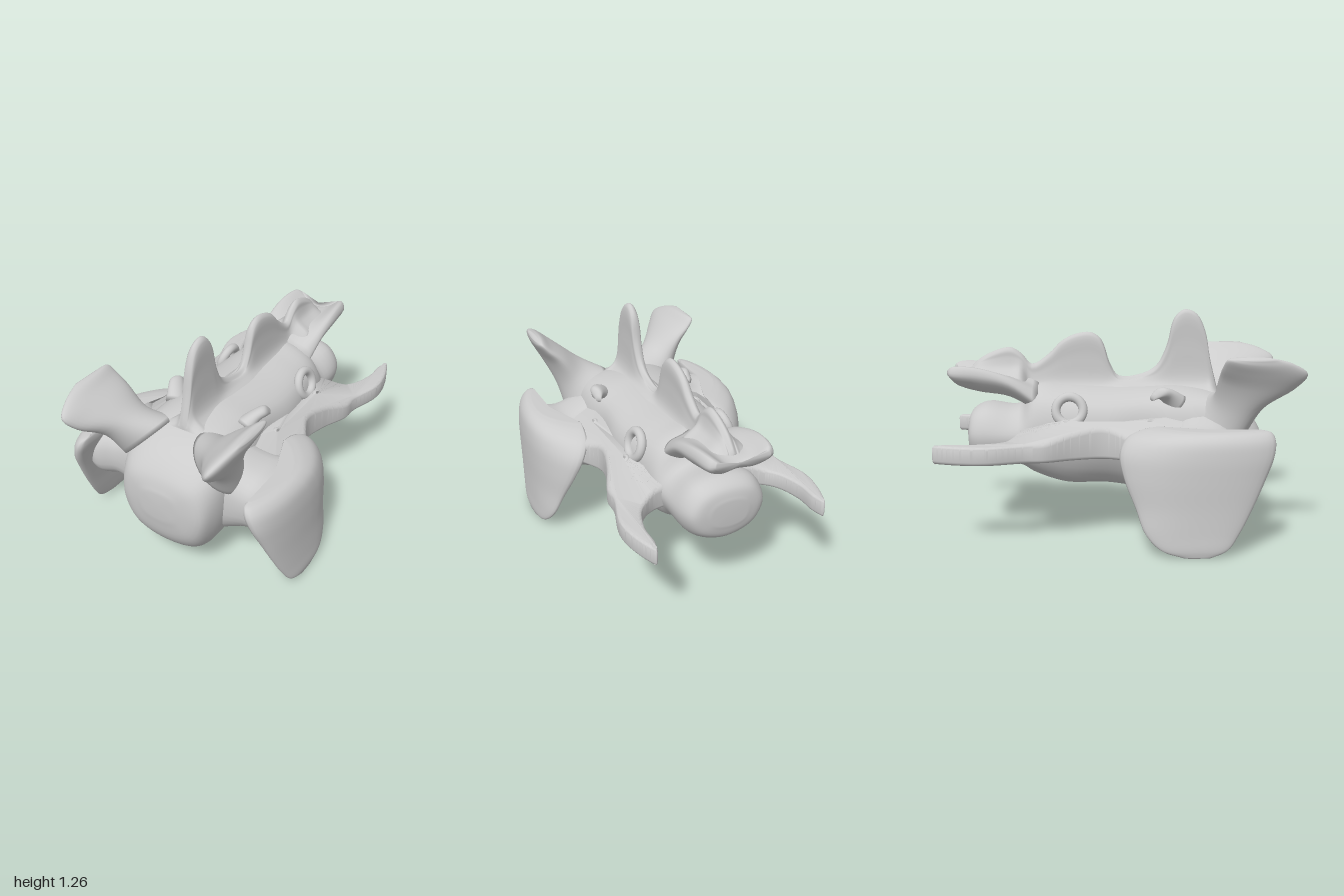
import * as THREE from 'three';
import { toCreasedNormals } from 'three/addons/utils/BufferGeometryUtils.js';

const V = (x, y, z) => new THREE.Vector3(x, y, z);
const clamp01 = (t) => THREE.MathUtils.clamp(t, 0, 1);
const material = new THREE.MeshStandardMaterial({ color: 0xcccccc });

// Oval cross-section around c, spanned by half-axes a and b
function oval(c, a, b, power = 1, n = 32) {
  const soft = (t) => Math.sign(t) * Math.abs(t) ** power;
  return Array.from({ length: n }, (_, i) => {
    const t = (i / n) * Math.PI * 2;
    return V(...c).addScaledVector(V(...a), soft(Math.cos(t))).addScaledVector(V(...b), soft(Math.sin(t)));
  });
}

// Symmetric cross-section at depth z from half an outline [x, y], bottom to top
function outline(z, half, sweep = 0, n = 48) {
  const left = half.slice(1, -1).reverse().map(([x, y]) => [-x, y]);
  const pts = [...half, ...left].map(([x, y]) => V(x, y, z - sweep * x * x));
  const curve = new THREE.CatmullRomCurve3(pts, true);
  return Array.from({ length: n }, (_, i) => curve.getPoint(i / n));
}

// Smooth closed skin over a row of cross-sections
function loft(rings, per = 5) {
  const n = rings[0].length, rows = (rings.length - 1) * per + 1;
  const curves = rings[0].map((_, j) => new THREE.CatmullRomCurve3(rings.map((r) => r[j])));
  const pos = [], idx = [];
  for (let i = 0; i < rows; i++) {
    for (const c of curves) pos.push(...c.getPoint(i / (rows - 1)).toArray());
  }
  for (let i = 0; i < rows - 1; i++) {
    for (let j = 0; j < n; j++) {
      const a = i * n + j, b = i * n + ((j + 1) % n);
      idx.push(a, b, a + n, b, b + n, a + n);
    }
  }
  [0, rows - 1].forEach((row, end) => {
    const ring = rings[end ? rings.length - 1 : 0], hub = pos.length / 3;
    const mid = ring.reduce((s, p) => s.add(p), V(0, 0, 0)).divideScalar(n);
    pos.push(mid.x, mid.y, mid.z);
    for (let j = 0; j < n; j++) {
      const a = row * n + j, b = row * n + ((j + 1) % n);
      idx.push(...(end ? [a, b, hub] : [b, a, hub]));
    }
  });
  // Turn the faces outward when the enclosed volume is negative
  const at = (k) => V(pos[k * 3], pos[k * 3 + 1], pos[k * 3 + 2]);
  let volume = 0;
  for (let k = 0; k < idx.length; k += 3) volume += at(idx[k]).dot(at(idx[k + 1]).cross(at(idx[k + 2])));
  if (volume < 0) idx.reverse();
  const geo = new THREE.BufferGeometry();
  geo.setAttribute('position', new THREE.Float32BufferAttribute(pos, 3));
  geo.setIndex(idx);
  geo.computeVertexNormals();
  return geo;
}

function mirrored(geo) {
  const m = geo.clone().scale(-1, 1, 1);
  const idx = m.index ? Array.from(m.index.array) : Array.from({ length: m.attributes.position.count }, (_, i) => i);
  m.setIndex(idx.reverse());
  return m;
}

// Fused vertebral bodies with their roof
function bodyGeometry() {
  // z, bottom y, lower corner, side, upper corner, top y
  const rows = [
    [0.825, 0.36, 0.08, 0.38, 0.1, 0.44, 0.08, 0.5, 0.52],
    [0.79, 0.21, 0.18, 0.26, 0.25, 0.42, 0.2, 0.58, 0.62],
    [0.7, 0.11, 0.19, 0.16, 0.29, 0.4, 0.26, 0.65, 0.72],
    [0.56, 0.09, 0.19, 0.14, 0.31, 0.42, 0.27, 0.73, 0.79],
    [0.35, 0.15, 0.19, 0.21, 0.32, 0.5, 0.27, 0.75, 0.83],
    [0.16, 0.22, 0.19, 0.27, 0.29, 0.54, 0.25, 0.75, 0.83],
    [-0.07, 0.26, 0.19, 0.31, 0.31, 0.56, 0.26, 0.74, 0.83],
    [-0.3, 0.26, 0.19, 0.32, 0.29, 0.57, 0.24, 0.75, 0.84],
    [-0.48, 0.32, 0.2, 0.38, 0.27, 0.58, 0.2, 0.76, 0.84],
    [-0.57, 0.37, 0.19, 0.42, 0.25, 0.56, 0.16, 0.68, 0.72],
    [-0.76, 0.36, 0.18, 0.42, 0.24, 0.56, 0.17, 0.69, 0.73],
    [-0.84, 0.4, 0.15, 0.45, 0.2, 0.56, 0.14, 0.66, 0.69],
    [-0.865, 0.48, 0.08, 0.5, 0.1, 0.56, 0.08, 0.6, 0.62],
  ];
  return loft(rows.map(([z, y0, ax, ay, bx, by, cx, cy, y1]) =>
    outline(z, [[0, y0], [ax, ay], [bx, by], [cx, cy], [0, y1]])));
}

// Midline crest rising into three spines
function crestGeometry() {
  const heights = [
    [0.57, 0.82], [0.53, 0.98], [0.5, 1.14], [0.45, 1.235], [0.38, 1.26], [0.32, 1.21], [0.28, 1.06],
    [0.22, 0.94], [0.13, 0.89], [0, 0.88], [-0.05, 0.95], [-0.1, 1.09], [-0.16, 1.13], [-0.25, 1.12],
    [-0.33, 1.08], [-0.4, 1.01], [-0.5, 0.95], [-0.56, 1.01], [-0.62, 1.045], [-0.7, 1.03], [-0.8, 0.98], [-0.87, 0.91],
  ];
  return loft(heights.map(([z, h]) => {
    const base = z < -0.5 ? 0.83 : 0.74, foot = Math.min(base + 0.1, h - 0.03);
    return outline(z, [[0, base], [0.13, base + 0.03], [0.05, foot], [0.028, (foot + h) / 2], [0.022, h - 0.02], [0, h]]);
  }), 4);
}

// Rear roof plate ending in a pair of joint lips
function rearRoofGeometry() {
  return loft([
    outline(-0.46, [[0, 0.68], [0.13, 0.69], [0.19, 0.74], [0.16, 0.8], [0.08, 0.83], [0, 0.86]]),
    outline(-0.62, [[0, 0.78], [0.13, 0.78], [0.2, 0.85], [0.18, 0.89], [0.08, 0.89], [0, 0.92]]),
    outline(-0.8, [[0, 0.81], [0.12, 0.81], [0.2, 0.89], [0.18, 0.945], [0.08, 0.9], [0, 0.91]]),
    outline(-0.9, [[0, 0.84], [0.1, 0.84], [0.18, 0.9], [0.16, 0.95], [0.08, 0.9], [0, 0.89]], 1.3),
    outline(-0.92, [[0, 0.86], [0.08, 0.86], [0.15, 0.91], [0.14, 0.935], [0.07, 0.895], [0, 0.88]], 2),
  ]);
}

// Side shelf with two openings, drawn out into a rear horn
function shelfGeometry() {
  const edge = [
    [0.58, 0.22], [0.45, 0.02], [0.4, -0.1], [0.43, -0.25], [0.49, -0.4], [0.5, -0.52], [0.55, -0.7],
    [0.54, -0.85], [0.485, -1], [0.455, -0.93], [0.45, -0.8], [0.4, -0.66], [0.3, -0.58], [0.15, -0.56],
  ].map((p) => new THREE.Vector2(...p));
  const shape = new THREE.Shape().moveTo(0.15, 0.5).lineTo(0.5, 0.5).splineThru(edge);
  for (const z of [0.16, -0.3]) {
    shape.holes.push(new THREE.Path().absellipse(0.345, z, 0.026, 0.036, 0, Math.PI * 2, true));
  }
  const geo = new THREE.ExtrudeGeometry(shape, {
    depth: 0.06, bevelThickness: 0.02, bevelSize: 0.02, bevelOffset: -0.02, bevelSegments: 4, curveSegments: 60,
  });
  geo.rotateX(Math.PI / 2).translate(0, 0.55, 0);
  // Raise the upper face toward the body
  const p = geo.attributes.position;
  for (let i = 0; i < p.count; i++) {
    const lift = clamp01((0.5 - p.getX(i)) / 0.2) * clamp01((p.getZ(i) + 0.62) / 0.25);
    if (p.getY(i) > 0.52) p.setY(i, p.getY(i) + 0.13 * lift);
  }
  return toCreasedNormals(geo, 0.9);
}

// Broad hanging side blade, curved inward at its front and back edges
function bladeGeometry() {
  const rows = [
    [0.003, 0.678, 0.32, 0.46, 0.008], [0.04, 0.67, 0.2, 0.55, 0.022], [0.12, 0.66, 0.12, 0.61, 0.028],
    [0.25, 0.648, 0.07, 0.68, 0.035], [0.4, 0.632, 0.01, 0.75, 0.05], [0.52, 0.612, -0.01, 0.8, 0.065],
    [0.6, 0.59, 0.03, 0.81, 0.07], [0.64, 0.575, 0.12, 0.79, 0.05], [0.653, 0.565, 0.2, 0.74, 0.02],
  ];
  return loft(rows.map(([y, x, z0, z1, t]) => {
    const mid = (z0 + z1) / 2, half = (z1 - z0) / 2;
    const ring = oval([x, y, mid], [0, 0, half], [t, 0, 0], 0.8);
    for (const p of ring) {
      const k = (mid - p.z) / half;
      p.x -= (k > 0 ? 0.24 : 0.07) * y * k * k;
    }
    return ring;
  }));
}

// Root joining the blade to the body
const bladeRootGeometry = () => loft([
  oval([0.2, 0.45, 0.46], [0, 0, 0.2], [0, 0.28, 0], 0.8),
  oval([0.32, 0.46, 0.45], [0, 0, 0.2], [0, 0.22, 0], 0.8),
  oval([0.44, 0.465, 0.43], [0, 0, 0.22], [0, 0.175, 0], 0.8),
  oval([0.54, 0.465, 0.42], [0, 0, 0.27], [0, 0.18, 0], 0.8),
  oval([0.62, 0.47, 0.42], [0, 0, 0.25], [0, 0.15, 0], 0.8),
]);

// Flared front joint wing
const frontWingGeometry = () => loft([
  oval([0.23, 0.66, 0.56], [0, 0, 0.16], [0.13, -0.13, 0]),
  oval([0.31, 0.78, 0.655], [0, 0, 0.15], [0.08, -0.07, 0]),
  oval([0.39, 0.885, 0.735], [0, -0.02, 0.21], [0.05, -0.045, 0]),
  oval([0.45, 0.955, 0.765], [-0.01, -0.02, 0.23], [0.035, -0.03, 0]),
  oval([0.49, 1.005, 0.735], [-0.01, -0.015, 0.18], [0.024, -0.02, 0]),
  oval([0.508, 1.025, 0.7], [0, 0, 0.1], [0.01, -0.008, 0]),
]);

// Remnant joint knob curling over the front opening
const knobGeometry = () => loft([
  oval([0.22, 0.74, 0.32], [0.06, 0, 0.02], [0, 0.05, 0.04]),
  oval([0.265, 0.8, 0.26], [0.035, 0, 0.03], [0, 0.035, 0.02]),
  oval([0.295, 0.815, 0.215], [0.025, 0, 0.03], [0, 0.03, 0.01]),
  oval([0.3, 0.79, 0.175], [0.012, 0, 0.012], [0, 0.015, 0]),
]);

// Remnant joint rim beside the rear opening
const rimGeometry = () => new THREE.TorusGeometry(0.075, 0.026, 14, 36)
  .rotateY(Math.PI / 2).rotateZ(0.3).translate(0.272, 0.72, -0.28);

export function createModel() {
  const model = new THREE.Group();
  model.name = 'fusedVertebrae';
  const add = (name, geo) => {
    const mesh = new THREE.Mesh(geo, material);
    mesh.name = name;
    model.add(mesh);
  };
  add('vertebralBody', bodyGeometry());
  add('spineCrest', crestGeometry());
  add('rearRoof', rearRoofGeometry());

  const pairs = {
    SideShelf: shelfGeometry(), SideBlade: bladeGeometry(), BladeRoot: bladeRootGeometry(),
    FrontWing: frontWingGeometry(), JointKnob: knobGeometry(), JointRim: rimGeometry(),
  };
  for (const [name, geo] of Object.entries(pairs)) {
    add('left' + name, geo);
    add('right' + name, mirrored(geo));
  }
  return model;
}
